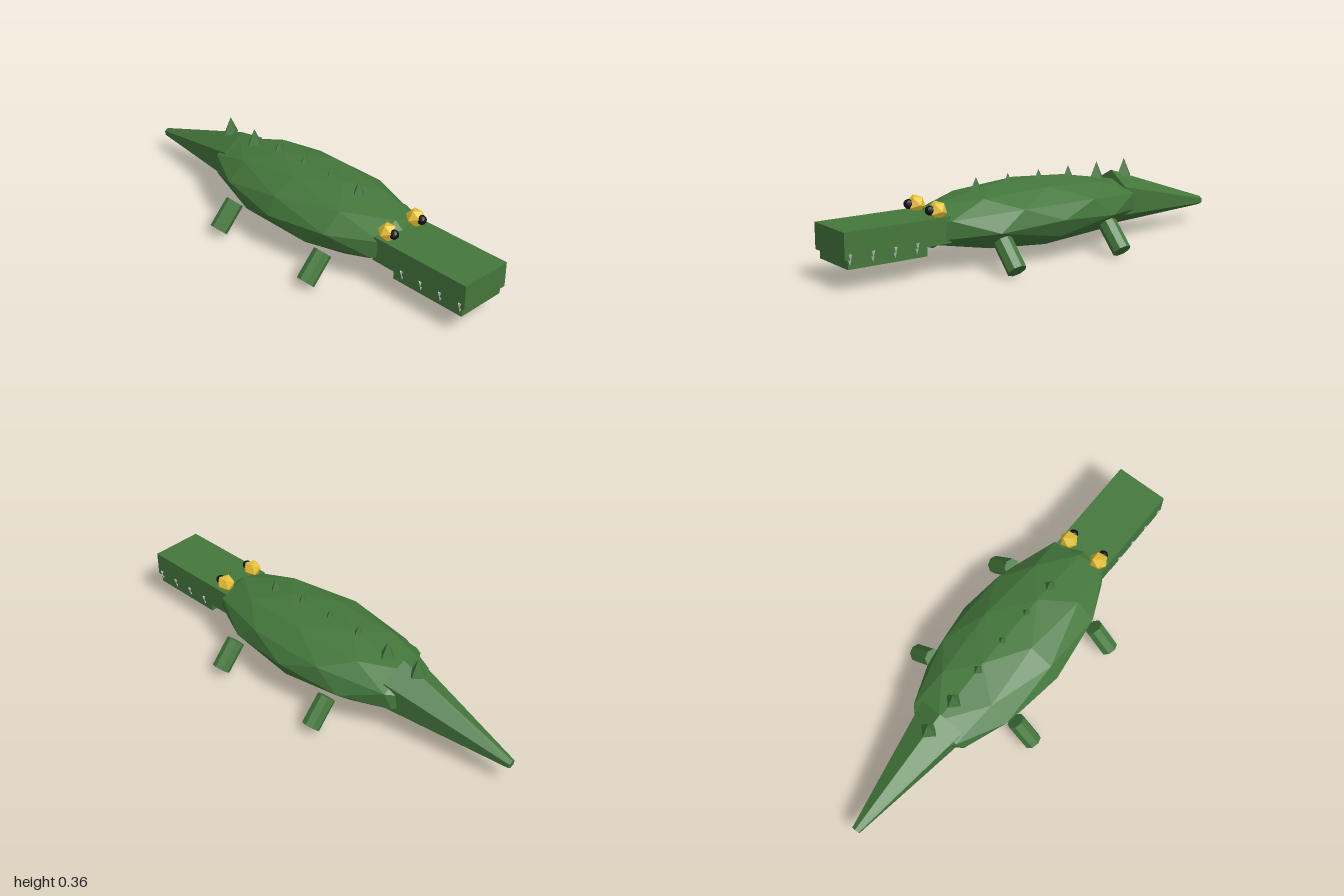
import * as THREE from 'three';

const mat = (color) => new THREE.MeshStandardMaterial({ color, flatShading: true });

export function createModel() {
  const model = new THREE.Group();
  const green = mat(0x44773c), yellow = mat(0xe3bf35), black = mat(0x111111), white = mat(0xe8e8e8);

  const add = (name, geometry, material, x, y, z) => {
    const mesh = new THREE.Mesh(geometry, material);
    mesh.name = name;
    mesh.position.set(x, y, z);
    model.add(mesh);
    return mesh;
  };

  // Icosphere standing on a corner, with an upper-ring corner towards +x
  const icosphere = (radius, detail) =>
    new THREE.IcosahedronGeometry(radius, detail)
      .rotateX(-Math.atan2(0.5257, 0.8507))
      .rotateY(-Math.PI / 2);

  // Body
  add('body', icosphere(1, 1).scale(0.26, 0.145, 0.6), green, 0, 0.185, 0.04);

  // Head and lower jaw
  add('upperJaw', new THREE.BoxGeometry(0.242, 0.11, 0.48), green, 0, 0.185, 0.76);
  add('lowerJaw', new THREE.BoxGeometry(0.23, 0.04, 0.355), green, 0, 0.111, 0.807);

  // Tail: tapering six-sided cone, drooping towards the tip
  const tailLength = 0.593, droop = 0.141;
  const tail = add('tail', new THREE.CylinderGeometry(0.02, 0.128, tailLength, 6)
    .rotateX(-Math.PI / 2), green, 0, 0.144, -0.704);
  tail.rotation.x = -droop;

  // Spikes along the back
  for (let i = 0; i < 6; i++) {
    add('backSpike', new THREE.ConeGeometry(0.04, 0.08, 4), green, 0, 0.32, 0.315 - i * 0.164);
  }

  for (const side of [1, -1]) {
    // Splayed legs
    for (const z of [0.343, -0.212]) {
      const leg = add(z > 0 ? 'frontLeg' : 'backLeg',
        new THREE.CylinderGeometry(0.041, 0.041, 0.142, 8), green, side * 0.279, 0.081, z);
      leg.rotation.z = side * 0.75;
    }

    // Eyes and pupils
    add('eye', icosphere(0.042, 0), yellow, side * 0.082, 0.263, 0.56);
    add('pupil', icosphere(0.021, 1), black, side * 0.082, 0.267, 0.594);

    // Teeth pointing down along the jaw edge
    for (let i = 0; i < 4; i++) {
      const tooth = add('tooth', new THREE.ConeGeometry(0.015, 0.05, 4), white,
        side * 0.114, 0.127, 0.975 - i * 0.0995);
      tooth.rotation.x = Math.PI;
    }
  }

  return model;
}
